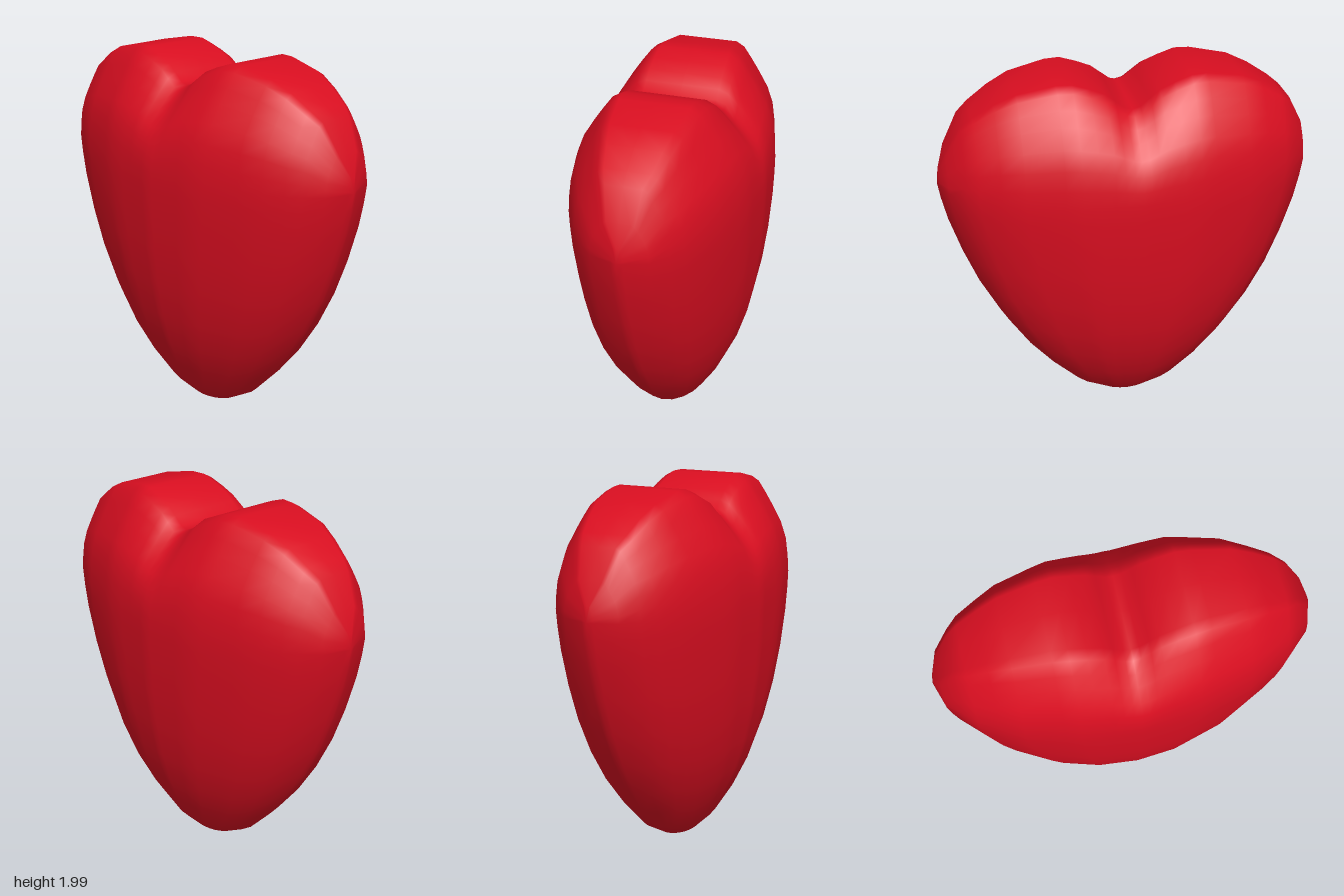
import * as THREE from 'three';
import { mergeVertices } from 'three/addons/utils/BufferGeometryUtils.js';

const RIM = 1.42; // height of the widest ring

// Piecewise linear lookup in a list of [x, y] points with rising x
function lookup(points, x) {
  let i = 1;
  while (i < points.length - 1 && x > points[i][0]) i++;
  const [a, b] = [points[i - 1], points[i]];
  return THREE.MathUtils.mapLinear(x, a[0], b[0], a[1], b[1]);
}

// Height of the two lobes and the notch, by distance from the middle
const crest = [[0, 1.83], [0.04, 1.84], [0.14, 1.92], [0.29, 1.985], [0.39, 1.985], [0.61, 1.94],
  [0.76, 1.86], [0.87, 1.77], [0.95, 1.62], [0.99, 1.5], [1, RIM]];

// Outline of the widest ring: a squashed 20-sided polygon
const outline = [5, 4, 3, 2, 1, 0].map((k) => [Math.cos(k * Math.PI / 10), 0.488 * Math.sin(k * Math.PI / 10)]);

// Lower body rings: [y, half width, depth scale]
const lower = [[0, 0, 0], [0.01, 0.08, 0.1], [0.025, 0.15, 0.2], [0.11, 0.3, 0.38], [0.26, 0.45, 0.57],
  [0.42, 0.585, 0.72], [0.6, 0.705, 0.835], [0.8, 0.81, 0.915], [1, 0.89, 0.965], [1.2, 0.955, 0.993], [1.33, 0.985, 1]];

// Upper dome rings: [depth scale, share of the lobe height]
const upper = [[1, 0], [0.985, 0.17], [0.95, 0.36], [0.87, 0.53], [0.74, 0.70], [0.63, 0.83], [0.52, 0.95], [0.41, 1], [0, 1]];

function heartGeometry() {
  // Stations around the ring: front from left to right, then back again
  const half = [1, 0.99, 0.951, 0.87, 0.809, 0.7, 0.588, 0.39, 0.309, 0.22, 0.14, 0.09, 0.04];
  const xs = [...half, 0, ...half.map((x) => -x).reverse()];
  const ring = [...xs.map((x) => [x, 1]), ...xs.slice(1, -1).reverse().map((x) => [x, -1])];
  const n = ring.length;
  const pos = [];
  const index = [];
  const depth = (x) => lookup(outline, Math.min(1, Math.abs(x)));

  for (const [y, w, d] of lower) {
    for (const [x, s] of ring) pos.push(x * w, y, s * depth(x) * d);
  }
  for (const [d, g] of upper) {
    for (const [x, s] of ring) {
      pos.push(x, RIM + (lookup(crest, Math.abs(x)) - RIM) * g, s * depth(x) * d);
    }
  }
  for (let r = 0; r < lower.length + upper.length - 1; r++) {
    for (let i = 0; i < n; i++) {
      const a = r * n + i, b = r * n + (i + 1) % n;
      index.push(a, a + n, b, a + n, b + n, b);
    }
  }
  let geo = new THREE.BufferGeometry();
  geo.setAttribute('position', new THREE.Float32BufferAttribute(pos, 3));
  geo.setIndex(index);
  geo = mergeVertices(geo, 1e-4);
  geo.computeVertexNormals();
  return geo;
}

export function createModel() {
  const group = new THREE.Group();
  group.name = 'heart';
  const body = new THREE.Mesh(heartGeometry(), new THREE.MeshStandardMaterial({ color: 0xd80e20 }));
  body.name = 'heartBody';
  group.add(body);
  return group;
}
